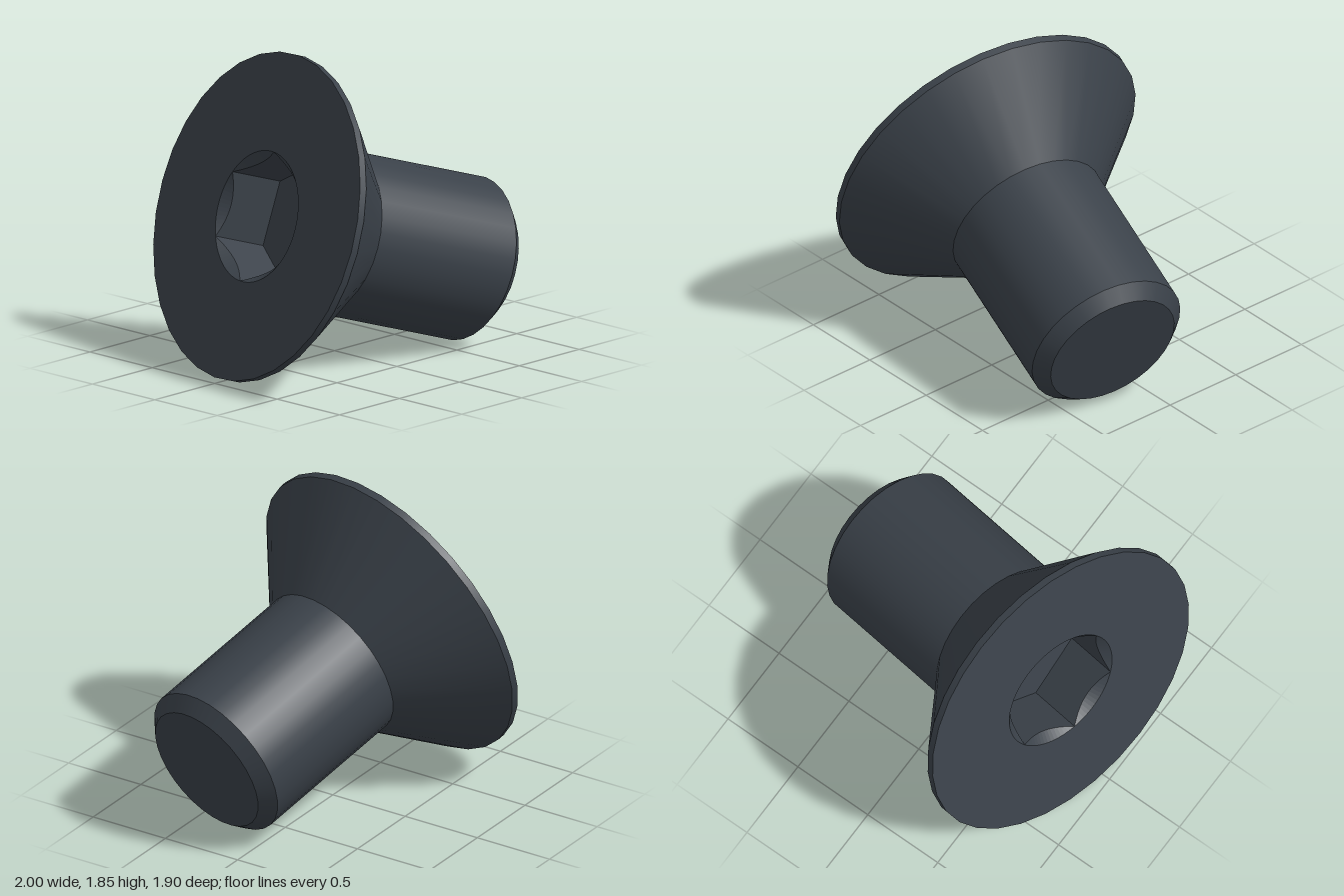
import * as THREE from 'three';

const SIDES = 32;
const HEAD_R = 0.965, SHAFT_R = 0.483, TIP_R = 0.403, SOCKET_R = 0.386;
// Distances along the screw axis, from the head face to the tip
const RIM = 0.045, NECK = 0.542, CHAMFER = 1.532, TIP = 1.612, SOCKET_DEPTH = 0.35;

// Radius of a regular polygon at angle a, with a corner at a = 0
function polygonRadius(a, r, n) {
  const step = (2 * Math.PI) / n;
  return (r * Math.cos(step / 2)) / Math.cos((a % step) - step / 2);
}

// Joins rings, each given as a function of angle returning [radius, depth]
function loft(rings, count = 96) {
  const pos = [];
  const point = (ring, i) => {
    const a = ((i % count) / count) * 2 * Math.PI + 1e-9;
    const [r, y] = ring(a);
    return [r * Math.cos(a), y, r * Math.sin(a)];
  };
  for (let k = 0; k < rings.length - 1; k++) {
    for (let i = 0; i < count; i++) {
      const p0 = point(rings[k], i), p1 = point(rings[k], i + 1);
      const q0 = point(rings[k + 1], i), q1 = point(rings[k + 1], i + 1);
      pos.push(...p0, ...p1, ...q0, ...p1, ...q1, ...q0);
    }
  }
  const geometry = new THREE.BufferGeometry();
  geometry.setAttribute('position', new THREE.Float32BufferAttribute(pos, 3));
  geometry.computeVertexNormals();
  return geometry;
}

export function createModel() {
  const steel = new THREE.MeshStandardMaterial({ color: 0x3a4149 });
  steel.name = 'dark steel';

  const screw = new THREE.Group();
  screw.name = 'screw';
  const add = (name, geometry) => {
    const mesh = new THREE.Mesh(geometry, steel);
    mesh.name = name;
    screw.add(mesh);
  };
  // Open band of the turned body between two distances on the axis
  const band = (name, r0, y0, r1, y1) => {
    const g = new THREE.CylinderGeometry(r1, r0, y1 - y0, SIDES, 1, true);
    add(name, g.translate(0, (y0 + y1) / 2, 0));
  };

  // Turned body
  band('headRim', HEAD_R, 0, HEAD_R, RIM);
  band('headCone', HEAD_R, RIM, SHAFT_R, NECK);
  band('shaft', SHAFT_R, NECK, SHAFT_R, CHAMFER);
  band('tipChamfer', SHAFT_R, CHAMFER, TIP_R, TIP);
  add('tipFace', new THREE.CircleGeometry(TIP_R, SIDES).rotateX(-Math.PI / 2).translate(0, TIP, 0));

  // Flat head face with a round opening
  const opening = () => [SOCKET_R, 0];
  add('headFace', loft([(a) => [polygonRadius(a, HEAD_R, SIDES), 0], opening]));

  // Hexagonal socket: conical lead-in, six walls and floor
  const hex = (a) => polygonRadius(a, SOCKET_R, 6);
  add('socketLeadIn', loft([opening, (a) => [hex(a), SOCKET_R - hex(a)]]));
  add('socketWalls', loft([(a) => [hex(a), SOCKET_R - hex(a)], (a) => [hex(a), SOCKET_DEPTH]]));
  add('socketFloor', loft([(a) => [hex(a), SOCKET_DEPTH], () => [0, SOCKET_DEPTH]]));

  // Lean the screw so that it rests on its head rim and its tip
  const axis = new THREE.Vector3(0.932, -0.308, 0.193).normalize();
  const up = new THREE.Vector3(0, 1, 0).addScaledVector(axis, -axis.y).normalize();
  const side = new THREE.Vector3().crossVectors(up, axis);
  screw.quaternion.setFromRotationMatrix(new THREE.Matrix4().makeBasis(up, axis, side));
  screw.position.set(-0.65, 0.932, 0.001);

  const model = new THREE.Group();
  model.name = 'countersunkScrew';
  model.add(screw);
  return model;
}
